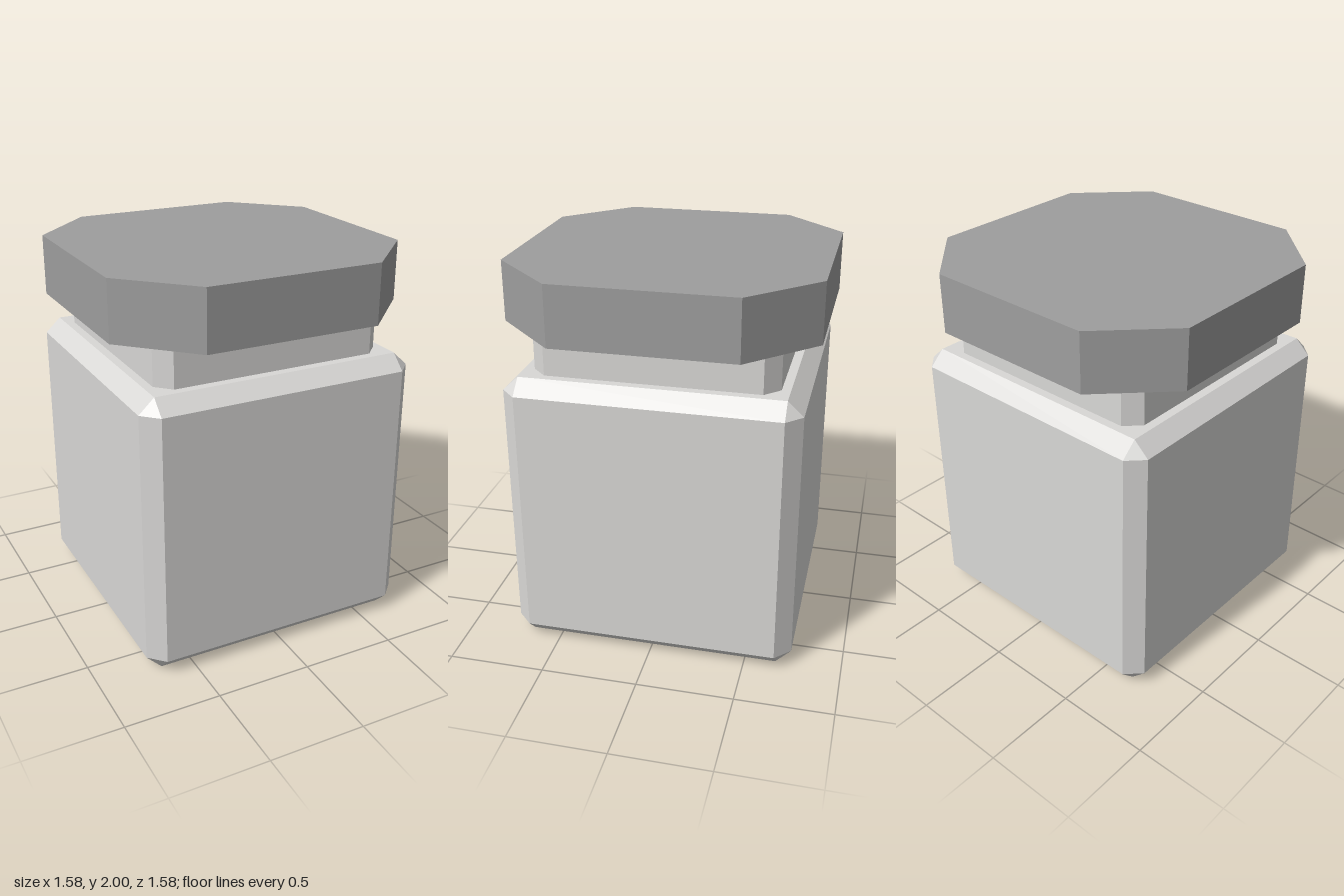
import * as THREE from 'three';

// Square ring with cut corners: half = half width, flat = half length of each straight side
function ring(y, half, flat) {
  const points = [];
  for (let k = 0; k < 4; k++) {
    const c = Math.round(Math.cos(k * Math.PI / 2)), s = Math.round(Math.sin(k * Math.PI / 2));
    for (const z of [-flat, flat]) points.push([half * c - z * s, y, half * s + z * c]);
  }
  return points;
}

// Closed solid through a stack of rings, listed from bottom to top
function loft(levels) {
  const rings = levels.map((level) => ring(...level));
  const positions = [];
  const face = (...corners) => corners.forEach((p) => positions.push(...p));
  for (let r = 0; r < rings.length - 1; r++) {
    const low = rings[r], high = rings[r + 1];
    for (let i = 0; i < 8; i++) {
      const j = (i + 1) % 8;
      face(low[i], high[i], high[j]);
      face(low[i], high[j], low[j]);
    }
  }
  const bottom = rings[0], top = rings[rings.length - 1];
  for (let i = 1; i < 7; i++) {
    face(bottom[0], bottom[i], bottom[i + 1]);
    face(top[0], top[i + 1], top[i]);
  }
  const geometry = new THREE.BufferGeometry();
  geometry.setAttribute('position', new THREE.Float32BufferAttribute(positions, 3));
  geometry.computeVertexNormals();
  return geometry;
}

export function createModel() {
  const group = new THREE.Group();
  group.name = 'jar';

  const jarMaterial = new THREE.MeshStandardMaterial({ color: 0xd9d8d6 });
  jarMaterial.name = 'pale grey';
  const lidMaterial = new THREE.MeshStandardMaterial({ color: 0x9e9e9e });
  lidMaterial.name = 'mid grey';

  const add = (name, material, levels) => {
    const mesh = new THREE.Mesh(loft(levels), material);
    mesh.name = name;
    group.add(mesh);
  };

  // Bevelled square body
  add('body', jarMaterial, [[0, 0.66, 0.66], [0.08, 0.74, 0.66], [1.405, 0.74, 0.66], [1.48, 0.66, 0.66]]);
  // Narrower neck
  add('neck', jarMaterial, [[1.48, 0.615, 0.54], [1.69, 0.615, 0.54]]);
  // Wide eight-sided lid
  add('lid', lidMaterial, [[1.69, 0.788, 0.456], [2, 0.788, 0.456]]);

  return group;
}
